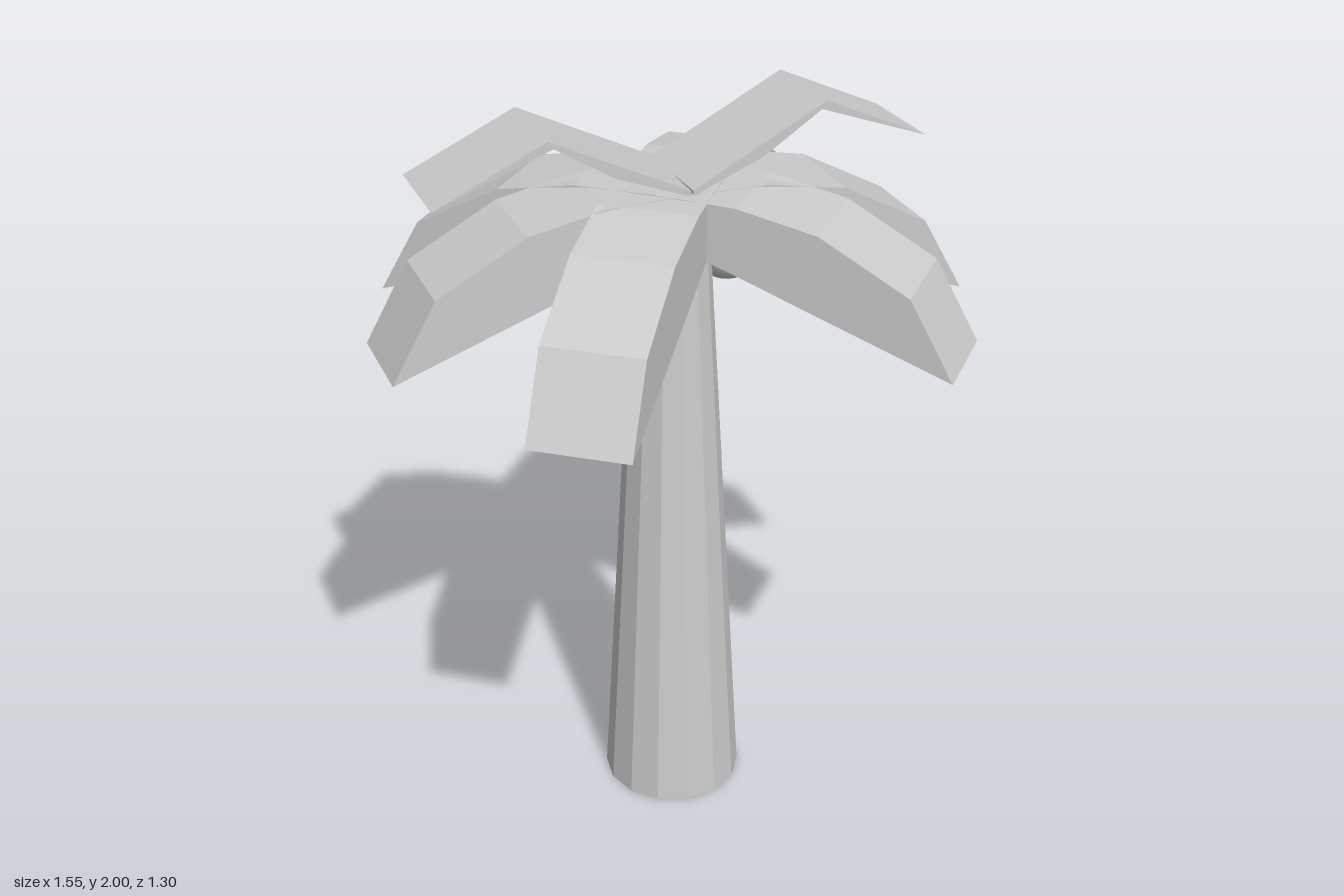
import * as THREE from 'three';

const material = new THREE.MeshStandardMaterial({ color: 0xcccccc, flatShading: true });
const smooth = new THREE.MeshStandardMaterial({ color: 0xcccccc });
const FROND_WIDTH = 0.254;

// Side profiles: distance from the trunk axis, height
const droopingProfile = [
  [0, 1.71], [0.767, 1.44], [0.65, 1.645], [0.417, 1.77], [0.21, 1.81], [0, 1.815],
];
const raisedProfile = [
  [0, 1.81], [0.19, 1.883], [0.345, 1.98], [0.645, 1.868], [0.358, 2.0], [0, 1.825],
];

// Extrudes a profile across the frond's width and turns it around the trunk
function frond(name, profile, degrees) {
  const shape = new THREE.Shape(profile.map(([r, y]) => new THREE.Vector2(r, y)));
  const geometry = new THREE.ExtrudeGeometry(shape, { depth: FROND_WIDTH, bevelEnabled: false });
  geometry.translate(0, 0, -FROND_WIDTH / 2);
  const mesh = new THREE.Mesh(geometry, material);
  mesh.name = name;
  mesh.rotation.y = -THREE.MathUtils.degToRad(degrees);
  return mesh;
}

export function createModel() {
  const tree = new THREE.Group();
  tree.name = 'palmTree';

  // Tapered trunk
  const trunkGeometry = new THREE.CylinderGeometry(0.092, 0.19, 1.75, 14);
  trunkGeometry.rotateY(Math.PI / 2).translate(0, 0.875, 0);
  const trunk = new THREE.Mesh(trunkGeometry, material);
  trunk.name = 'trunk';
  tree.add(trunk);

  // Six thick drooping fronds (angles run from +x towards +z)
  for (const angle of [4.9, 47.5, 132.5, 185, 227.5, 312.5]) {
    tree.add(frond('droopingFrond', droopingProfile, angle));
  }

  // Two thin raised fronds
  for (const angle of [2.5, 185]) {
    tree.add(frond('raisedFrond', raisedProfile, angle));
  }

  // Coconuts on both sides of the trunk
  for (const side of [-1, 1]) {
    const coconut = new THREE.Mesh(new THREE.SphereGeometry(0.09, 16, 12), smooth);
    coconut.name = 'coconut';
    coconut.position.set(side * 0.157, 1.605, 0);
    tree.add(coconut);
  }
  return tree;
}
